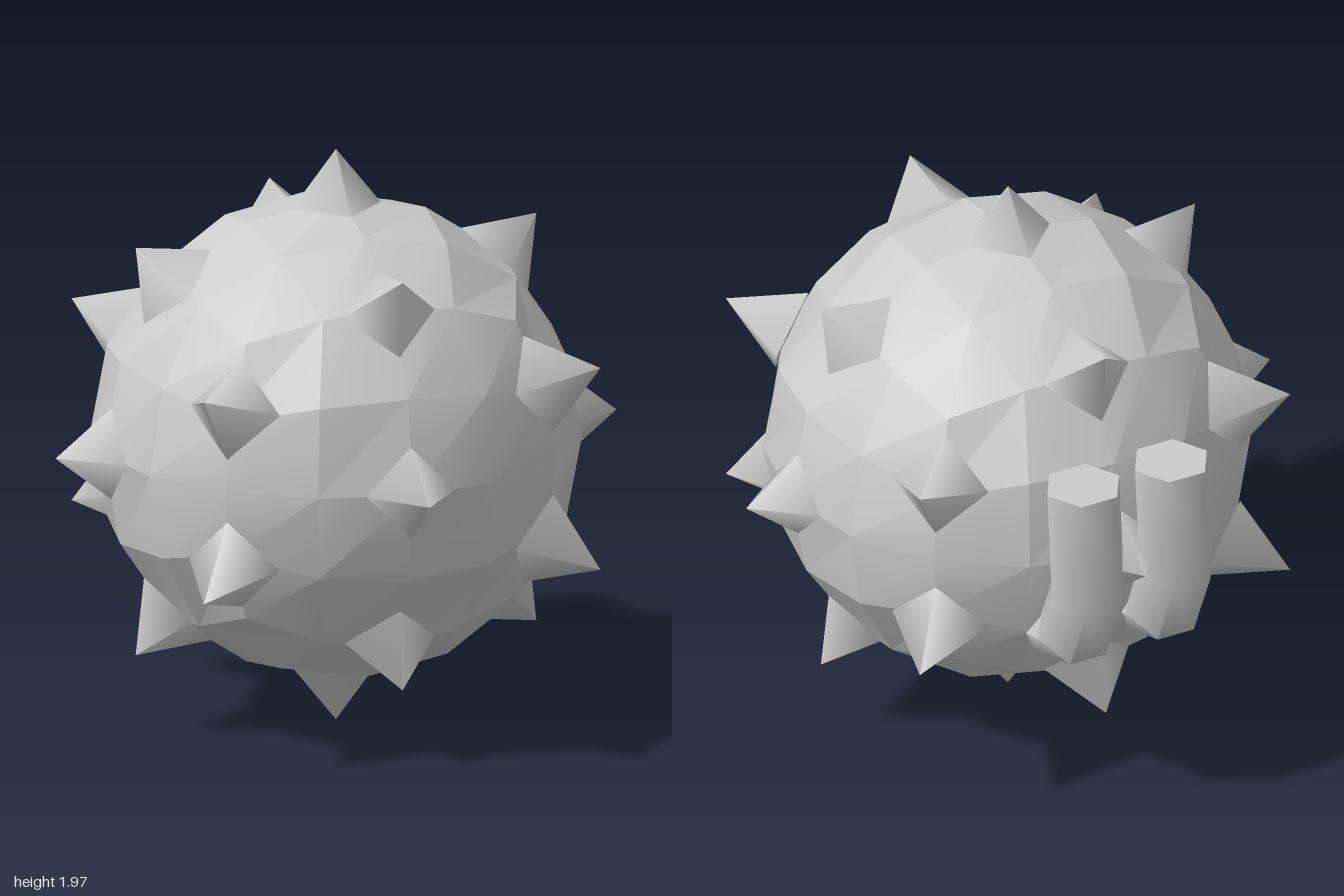
import * as THREE from 'three';
import { toCreasedNormals } from 'three/addons/utils/BufferGeometryUtils.js';

const material = new THREE.MeshStandardMaterial({ color: 0xcccccc });

function addMesh(parent, geometry, name) {
  const mesh = new THREE.Mesh(geometry, material);
  mesh.name = name;
  parent.add(mesh);
  return mesh;
}

// Ball: a 4 x 4 x 4 cube grid pushed out to a sphere with equal angles
function ballGeometry(radius) {
  const geometry = new THREE.BoxGeometry(2, 2, 2, 4, 4, 4);
  const pos = geometry.attributes.position;
  const v = new THREE.Vector3();
  for (let i = 0; i < pos.count; i++) {
    v.fromBufferAttribute(pos, i);
    v.set(...v.toArray().map((c) => Math.tan(c * Math.PI / 4))).setLength(radius);
    pos.setXYZ(i, v.x, v.y, v.z);
  }
  return toCreasedNormals(geometry, 0.36);
}

// Four-sided spike pointing outwards, one base corner kept upwards
function addSpike(parent, x, y, z, base, tip) {
  const height = tip - base;
  const spike = addMesh(parent, new THREE.ConeGeometry(0.168, height, 4), 'spike');
  const out = new THREE.Vector3(x, y, z).normalize();
  const side = x || z ? new THREE.Vector3(0, 1, 0).cross(out).normalize() : new THREE.Vector3(1, 0, 0);
  const third = side.clone().cross(out);
  spike.quaternion.setFromRotationMatrix(new THREE.Matrix4().makeBasis(side, out, third));
  spike.position.copy(out).multiplyScalar(base + height / 2);
}

// Six-sided bent pipe, made from mitred rings: [outer y, outer z, inner y, inner z]
function pipeGeometry(radius) {
  const rings = [
    [1.32, -0.96, 1.32, -0.73],
    [0.92, -1.0, 0.93, -0.76],
    [0.65, -0.88, 0.78, -0.68],
    [0.55, -0.60, 0.76, -0.56],
  ];
  const points = [], index = [];
  rings.forEach(([oy, oz, iy, iz], i) => {
    for (let k = 0; k < 6; k++) {
      const a = Math.PI / 6 + k * Math.PI / 3;
      const c = Math.cos(a) / Math.cos(Math.PI / 6) / 2;
      points.push(radius * Math.sin(a), (oy + iy) / 2 + (oy - iy) * c, (oz + iz) / 2 + (oz - iz) * c);
      if (i < rings.length - 1) {
        const p = i * 6 + k, q = i * 6 + (k + 1) % 6;
        index.push(p, q, p + 6, q, q + 6, p + 6);
      }
    }
  });
  const last = (rings.length - 1) * 6;
  for (let k = 1; k < 5; k++) {
    index.push(0, k + 1, k, last, last + k, last + k + 1);
  }
  const geometry = new THREE.BufferGeometry();
  geometry.setAttribute('position', new THREE.Float32BufferAttribute(points, 3));
  geometry.setIndex(index);
  return toCreasedNormals(geometry, 1.15);
}

export function createModel() {
  const model = new THREE.Group();
  model.name = 'spikedBall';

  const ball = new THREE.Group();
  ball.name = 'ball';
  ball.position.set(0, 0.985, 0.01);
  model.add(ball);
  addMesh(ball, ballGeometry(0.82), 'body');

  // Spikes on the axes, on the two upright diagonals and in two rows at the corners
  const spikes = new THREE.Group();
  spikes.name = 'spikes';
  ball.add(spikes);
  for (const s of [-1, 1]) {
    addSpike(spikes, s, 0, 0, 0.775, 0.985);
    addSpike(spikes, 0, s, 0, 0.775, 0.985);
    addSpike(spikes, 0, 0, s, 0.775, 0.985);
    for (const t of [-1, 1]) {
      addSpike(spikes, s, t, 0, 0.785, 0.995);
      addSpike(spikes, 0, t, s, 0.785, 0.995);
      for (const u of [-1, 1]) addSpike(spikes, 2 * s, u, 2 * t, 0.8, 1.045);
    }
  }

  // Pair of bent pipes on the back
  for (const s of [-1, 1]) {
    const pipe = addMesh(model, pipeGeometry(0.135), s > 0 ? 'leftPipe' : 'rightPipe');
    pipe.position.x = s * 0.165;
  }
  return model;
}
